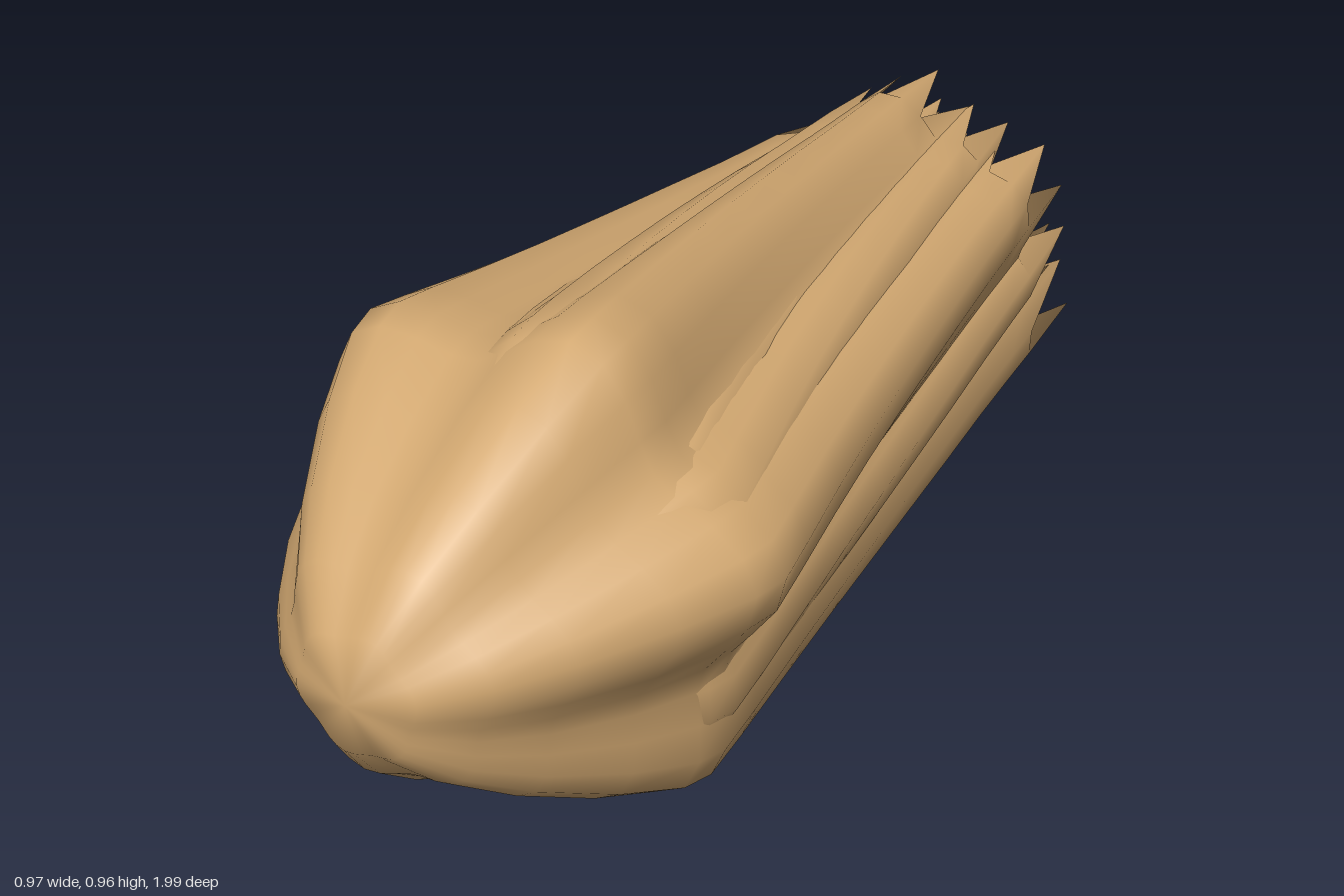
import * as THREE from 'three';

const SEGMENTS = 44, LOBES = 6, DEG = Math.PI / 180, CENTRE_Y = 0.477;

// Lobe-crest profile from nose tip to torn rear edge: [z, radius]
const PROFILE = [
  [1, 0], [0.97, 0.122], [0.89, 0.22], [0.78, 0.312], [0.63, 0.412], [0.5, 0.48],
  [0.43, 0.495], [0.33, 0.48], [0.16, 0.452], [0, 0.428], [-0.15, 0.408], [-0.3, 0.389],
  [-0.45, 0.371], [-0.6, 0.353], [-0.72, 0.341], [-0.81, 0.333], [-0.99, 0.314],
];

// Fluted, twisting shell with a rounded nose and a zigzag open end
function shell(name, scale, phase, twistRate, material) {
  const positions = [], indices = [];
  const last = PROFILE.length - 1;
  PROFILE.forEach(([z0, crest], row) => {
    const twist = twistRate * DEG * Math.max(0, 0.43 - z0);
    // flutes are shallow at the nose and deepen towards the shoulder
    const depth = z0 > 0.43 ? 0.03 + 0.08 * crest / 0.495 : 0.11;
    for (let i = 0; i < SEGMENTS; i++) {
      const a = (2.9 + i * 360 / SEGMENTS) * DEG;
      const wave = Math.cos(LOBES * (a - phase * DEG));
      const r = crest * scale * (1 - depth + depth * wave);
      // every second rear vertex stays forward, which cuts the teeth
      let z = row === last && i % 2 ? -0.82 : z0;
      if (z > 0) z *= (1 + scale) / 2;
      positions.push(r * Math.cos(a + twist), r * Math.sin(a + twist), z);
    }
  });
  for (let row = 0; row < last; row++) {
    for (let i = 0; i < SEGMENTS; i++) {
      const j = (i + 1) % SEGMENTS;
      const a = row * SEGMENTS + i, b = row * SEGMENTS + j;
      const c = a + SEGMENTS, d = b + SEGMENTS;
      indices.push(a, c, d);
      if (row > 0) indices.push(a, d, b);
    }
  }
  const geometry = new THREE.BufferGeometry();
  geometry.setAttribute('position', new THREE.Float32BufferAttribute(positions, 3));
  geometry.setIndex(indices);
  geometry.computeVertexNormals();
  // the tip is a ring of coincident points, so give them one shared normal
  for (let i = 0; i < SEGMENTS; i++) geometry.attributes.normal.setXYZ(i, 0, 0, 1);
  const mesh = new THREE.Mesh(geometry, material);
  mesh.name = name;
  mesh.position.y = CENTRE_Y;
  return mesh;
}

export function createModel() {
  const group = new THREE.Group();
  group.name = 'flutedPod';
  const tan = new THREE.MeshStandardMaterial({ color: 0xd2a871, side: THREE.DoubleSide });
  tan.name = 'tan';
  // nested shells, each smaller and twisted further so its lobes fill the grooves
  const names = ['outerShell', 'secondShell', 'thirdShell', 'fourthShell', 'fifthShell', 'coreShell'];
  names.forEach((name, i) => {
    group.add(shell(name, 1 - 0.1 * i, 13 + 12 * i, 17 + 11 * i, tan));
  });
  return group;
}
